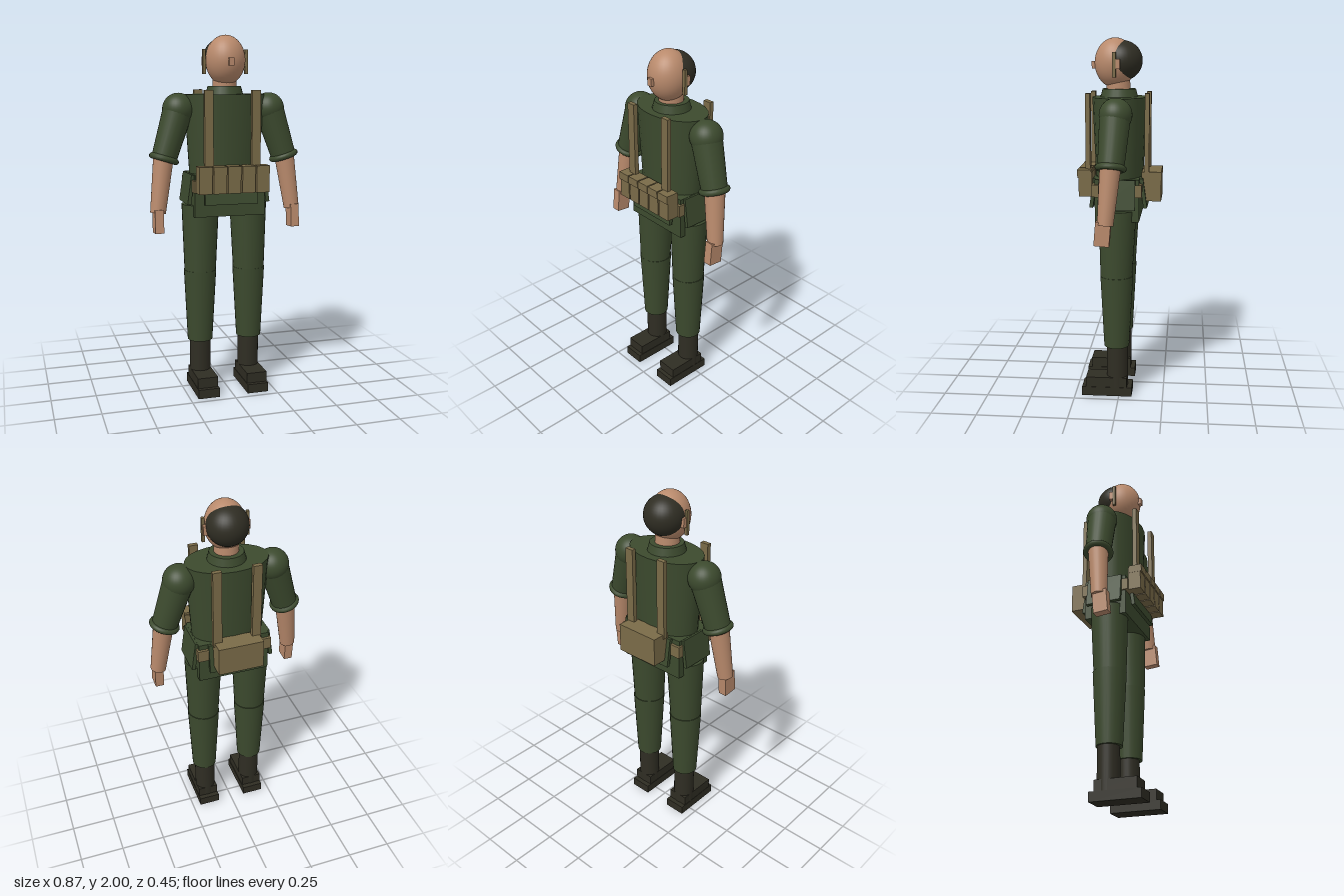
import * as THREE from 'three';

const mat = (name, color) => Object.assign(new THREE.MeshStandardMaterial({ color }), { name });

export function createModel() {
  const green = mat('fatigue green', 0x3c4a2e);
  const khaki = mat('webbing khaki', 0x7a6b48);
  const skin = mat('skin', 0xb98a6c);
  const dark = mat('dark leather and hair', 0x2f2d23);
  const model = new THREE.Group();
  model.name = 'soldier';

  const add = (name, geo, material, x = 0, y = 0, z = 0) => {
    const mesh = new THREE.Mesh(geo, material);
    mesh.name = name;
    mesh.position.set(x, y, z);
    model.add(mesh);
    return mesh;
  };
  // box given by its lower and upper corners
  const box = (name, material, [x0, y0, z0], [x1, y1, z1]) =>
    add(name, new THREE.BoxGeometry(x1 - x0, y1 - y0, z1 - z0), material,
      (x0 + x1) / 2, (y0 + y1) / 2, (z0 + z1) / 2);
  const ball = (name, material, p, r) => {
    const m = add(name, new THREE.SphereGeometry(1, 32, 24), material, ...p);
    m.scale.set(...r);
    return m;
  };
  // tapered round limb running from point a (top) to point b (bottom)
  const UP = new THREE.Vector3(0, 1, 0);
  const limb = (name, material, a, b, ra, rb) => {
    const A = new THREE.Vector3(...a), B = new THREE.Vector3(...b);
    const d = A.clone().sub(B);
    const m = add(name, new THREE.CylinderGeometry(ra, rb, d.length(), 24), material);
    m.position.copy(A.add(B).multiplyScalar(0.5));
    m.quaternion.setFromUnitVectors(UP, d.normalize());
    return m;
  };

  // head
  ball('head', skin, [0, 1.865, 0.035], [0.109, 0.135, 0.113]);
  ball('hair', dark, [0, 1.877, -0.002], [0.112, 0.109, 0.113]);
  box('nose', skin, [-0.014, 1.835, 0.13], [0.014, 1.875, 0.163]);
  limb('neck', skin, [0, 1.79, 0.02], [0, 1.68, 0.015], 0.065, 0.067);

  // jacket
  limb('collar', green, [0, 1.726, 0.013], [0, 1.67, 0.013], 0.092, 0.107);
  limb('torso', green, [0, 1.682, 0.01], [0, 1.245, 0.01], 0.228, 0.2).scale.z = 0.66;
  box('jacketHem', green, [-0.2, 1.017, -0.11], [0.2, 1.25, 0.13]);
  const frontFlap = box('frontFlap', green, [-0.15, 1.085, 0.135], [0.15, 1.25, 0.155]);
  frontFlap.rotation.x = -0.14;
  const backFlap = box('backFlap', green, [-0.15, 1.085, -0.14], [0.15, 1.25, -0.12]);
  backFlap.rotation.x = 0.14;

  // belt and pouches
  box('belt', khaki, [-0.21, 1.155, -0.125], [0.21, 1.222, 0.147]);
  for (let i = -2; i <= 2; i++) {
    const x = i * 0.0805;
    box('ammoPouch', khaki, [x - 0.036, 1.155, 0.145], [x + 0.036, 1.29, 0.217]);
    box('pouchLid', khaki, [x - 0.037, 1.258, 0.15], [x + 0.037, 1.302, 0.224]);
  }
  box('backPouch', khaki, [-0.127, 1.122, -0.227], [0.127, 1.283, -0.12]);

  for (const s of [-1, 1]) {
    const side = (name, material, [x0, y0, z0], [x1, y1, z1]) =>
      box(name, material, [Math.min(s * x0, s * x1), y0, z0], [Math.max(s * x0, s * x1), y1, z1]);

    // ears and side plates
    side('ear', skin, [0.095, 1.835, 0.0], [0.125, 1.885, 0.03]);
    side('earPlate', khaki, [0.112, 1.79, 0.022], [0.128, 1.922, 0.04]);

    // shoulder straps
    side('frontStrap', khaki, [0.108, 1.24, 0.158], [0.157, 1.706, 0.183]);
    side('backStrap', khaki, [0.085, 1.26, -0.16], [0.134, 1.706, -0.135]);

    // side flap of the jacket
    const flap = side('sideFlap', green, [0.205, 1.085, -0.09], [0.225, 1.25, 0.11]);
    flap.rotation.z = s * 0.14;

    // arm
    const elbow = [s * 0.347, 1.335, 0.028];
    ball('shoulder', green, [s * 0.26, 1.602, 0.01], [0.088, 0.088, 0.088]);
    const sleeve = limb('sleeve', green, [s * 0.262, 1.6, 0.012], elbow, 0.083, 0.07);
    const cuff = add('rolledCuff', new THREE.TorusGeometry(0.067, 0.017, 10, 28).rotateX(Math.PI / 2),
      green, ...elbow);
    cuff.quaternion.copy(sleeve.quaternion);
    limb('forearm', skin, [s * 0.348, 1.36, 0.028], [s * 0.39, 1.04, 0.054], 0.057, 0.043);
    const hand = side('hand', skin, [0.368, 0.932, 0.027], [0.416, 1.06, 0.108]);
    hand.rotation.x = -0.08;

    // leg
    limb('thigh', green, [s * 0.14, 1.076, 0.012], [s * 0.144, 0.67, 0.018], 0.105, 0.088);
    limb('shin', green, [s * 0.144, 0.7, 0.016], [s * 0.146, 0.29, 0.016], 0.092, 0.071);

    // boot
    limb('bootShaft', dark, [s * 0.145, 0.31, 0.012], [s * 0.145, 0.05, 0.012], 0.06, 0.06);
    side('bootFoot', dark, [0.086, 0.05, -0.045], [0.203, 0.11, 0.187]);
    side('bootSole', dark, [0.083, 0, -0.073], [0.205, 0.052, 0.21]);
  }
  return model;
}
